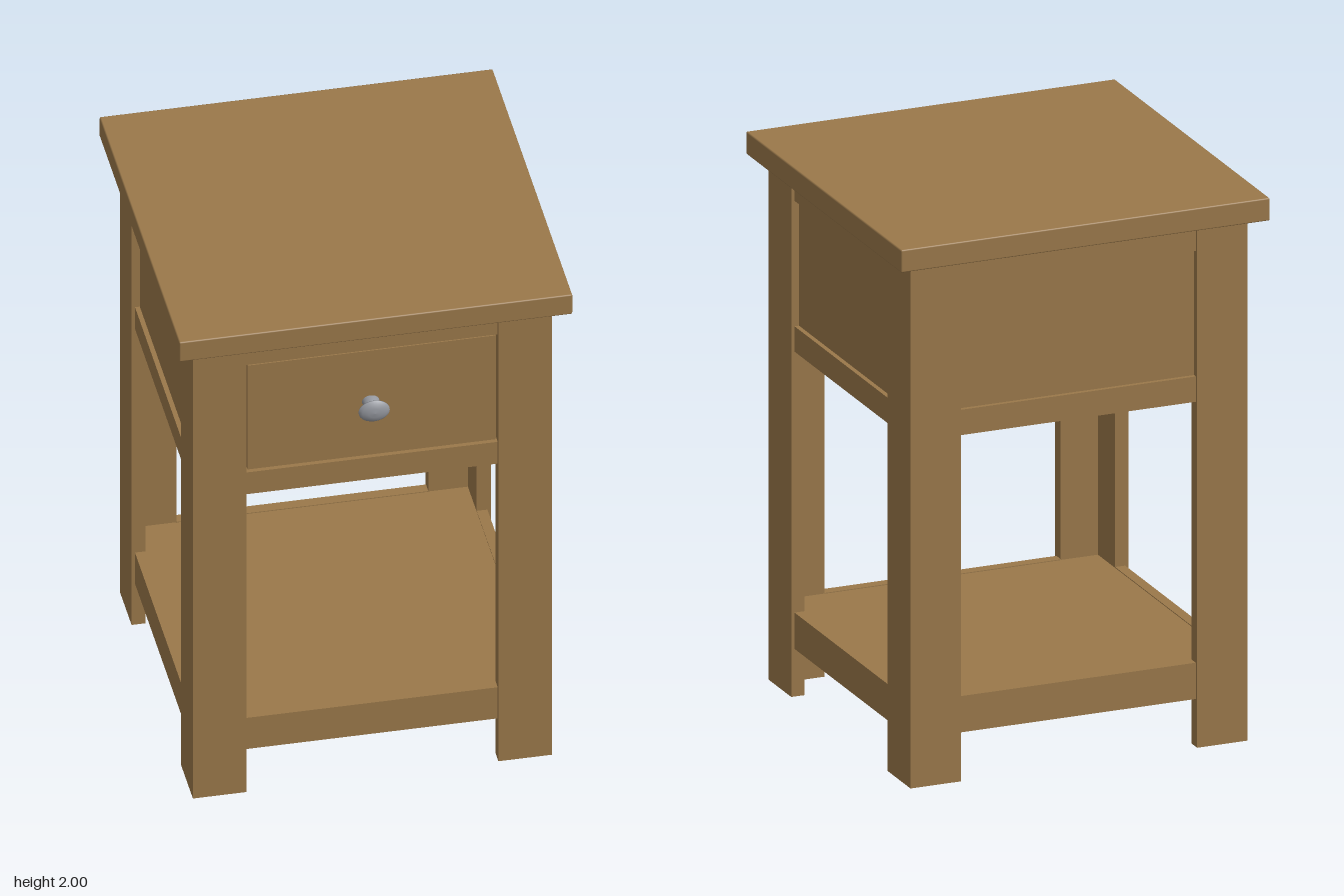
import * as THREE from 'three';
import { RoundedBoxGeometry } from 'three/addons/geometries/RoundedBoxGeometry.js';

export function createModel() {
  const wood = new THREE.MeshStandardMaterial({ color: 0x9a784a });
  wood.name = 'wood';
  const metal = new THREE.MeshStandardMaterial({ color: 0x94979e });
  metal.name = 'brushed metal';
  const model = new THREE.Group();
  model.name = 'sideTable';

  function add(name, geometry, material = wood) {
    const mesh = new THREE.Mesh(geometry, material);
    mesh.name = name;
    model.add(mesh);
    return mesh;
  }
  // Box given by its lower and upper corners
  function box(name, [x0, y0, z0], [x1, y1, z1]) {
    const mesh = add(name, new THREE.BoxGeometry(x1 - x0, y1 - y0, z1 - z0));
    mesh.position.set((x0 + x1) / 2, (y0 + y1) / 2, (z0 + z1) / 2);
  }

  // Table top with slightly eased edges
  add('tableTop', new RoundedBoxGeometry(1.39, 0.083, 1.36, 1, 0.005)).position.set(0, 1.9585, 0);

  // Corner legs: two boards meeting in an L, hollow towards the inside
  const X = 0.635, Z = 0.622, W = 0.19, D = 0.2, T = 0.05;
  for (const sx of [-1, 1]) {
    for (const sz of [-1, 1]) {
      const points = [[X, Z], [X - W, Z], [X - W, Z - T], [X - T, Z - T], [X - T, Z - D], [X, Z - D]]
        .map(([x, z]) => new THREE.Vector2(x * sx, -z * sz));
      const leg = new THREE.ExtrudeGeometry(new THREE.Shape(points), { depth: 1.917, bevelEnabled: false });
      leg.rotateX(-Math.PI / 2);
      add((sz > 0 ? 'front' : 'back') + (sx > 0 ? 'Left' : 'Right') + 'Leg', leg);
    }
  }

  // Rails between the legs, set back a little from the leg faces
  const rails = [['lowerRail', 0.175, 0.308], ['drawerRail', 1.265, 1.358], ['topRail', 1.818, 1.917]];
  for (const [name, y0, y1] of rails) {
    for (const s of [-1, 1]) {
      const za = s * 0.61, zb = s * 0.57, xa = s * 0.623, xb = s * 0.585;
      box((s > 0 ? 'front_' : 'back_') + name, [-0.446, y0, Math.min(za, zb)], [0.446, y1, Math.max(za, zb)]);
      box((s > 0 ? 'left_' : 'right_') + name, [Math.min(xa, xb), y0, -0.423], [Math.max(xa, xb), y1, 0.423]);
    }
  }

  // Cabinet body whose walls are the recessed side and back panels
  box('cabinetBody', [-0.606, 1.285, -0.594], [0.606, 1.915, 0.585]);

  // Shelf reaching into the inner corners of the legs
  box('shelf', [-0.59, 0.2, -0.575], [0.59, 0.305, 0.575]);

  // Drawer front with a narrow gap all round
  box('drawerFront', [-0.438, 1.366, 0.58], [0.438, 1.81, 0.604]);

  // Oval knob on a flared stem
  const profile = [[0.024, 0], [0.022, 0.028], [0.014, 0.034], [0.014, 0.05], [0.026, 0.054],
    [0.043, 0.06], [0.043, 0.064], [0.034, 0.073], [0.018, 0.078], [0, 0.08]]
    .map(([r, h]) => new THREE.Vector2(r, h));
  const knob = add('drawerKnob', new THREE.LatheGeometry(profile, 28), metal);
  knob.rotation.x = Math.PI / 2;
  knob.scale.x = 1.28;
  knob.position.set(-0.003, 1.595, 0.602);

  return model;
}
